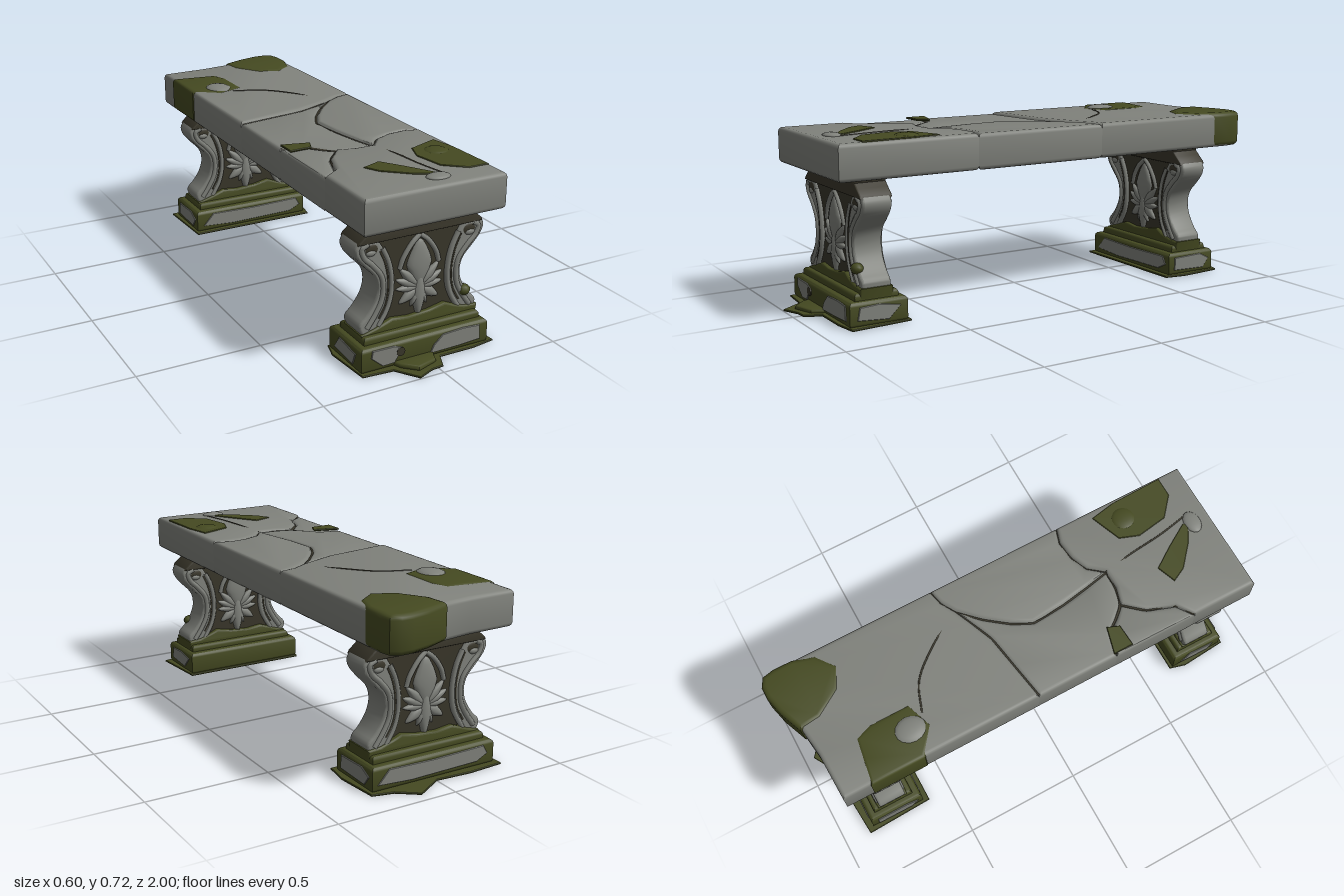
import * as THREE from 'three';
import { toCreasedNormals } from 'three/addons/utils/BufferGeometryUtils.js';

const material = (name, color) => {
  const m = new THREE.MeshStandardMaterial({ color });
  m.name = name;
  return m;
};
const stone = material('greyStone', 0x80827c);
const moss = material('moss', 0x454a21);
const dark = material('darkStone', 0x39362a);

const v2 = (pts) => pts.map(([x, y]) => new THREE.Vector2(x, y));

function add(parent, name, geometry, mat) {
  const mesh = new THREE.Mesh(geometry, mat);
  mesh.name = name;
  parent.add(mesh);
  return mesh;
}

// Bevelled extrusion whose outline and depth stay exact
function extrude(pts, depth, bevel, segments = 3) {
  const g = new THREE.ExtrudeGeometry(new THREE.Shape(v2(pts)), {
    depth: depth - 2 * bevel, bevelEnabled: bevel > 0, bevelThickness: bevel,
    bevelSize: bevel, bevelOffset: -bevel, bevelSegments: segments,
  });
  g.translate(0, 0, bevel);
  return toCreasedNormals(g, 0.7);
}

// Horizontal slab from an (x, z) outline
function slab(pts, y0, y1, bevel, segments) {
  const g = extrude(pts.map(([x, z]) => [x, -z]), y1 - y0, bevel, segments);
  return g.rotateX(-Math.PI / 2).translate(0, y0, 0);
}

// Upright extrusion centred on z = 0
const upright = (pts, half, bevel) => extrude(pts, half * 2, bevel).translate(0, 0, -half);

const smooth = (pts, n = 28) => new THREE.SplineCurve(v2(pts)).getPoints(n).map((p) => [p.x, p.y]);

const tube = (pts, r, n = 24) => new THREE.TubeGeometry(
  new THREE.CatmullRomCurve3(pts.map((p) => new THREE.Vector3(...p))), n, r, 7);

const rect = (x0, x1, z0, z1) => [[x0, z0], [x1, z0], [x1, z1], [x0, z1]];

// Pointed leaf lying on the panel, from (x0, y0) to (x1, y1)
function leaf(x0, y0, x1, y1, width, height) {
  const g = new THREE.SphereGeometry(1, 14, 12);
  const p = g.attributes.position;
  for (let i = 0; i < p.count; i++) {
    const taper = 1 - 0.45 * Math.abs(p.getY(i));
    p.setX(i, p.getX(i) * taper);
  }
  const dx = x1 - x0, dy = y1 - y0;
  g.scale(width, Math.hypot(dx, dy) / 2, height);
  g.rotateZ(Math.atan2(-dx, dy)).translate((x0 + x1) / 2, (y0 + y1) / 2, 0.05);
  g.computeVertexNormals();
  return g;
}

// Carved palmette on one face
function palmette() {
  const g = new THREE.Group();
  g.name = 'carvedPalmette';
  add(g, 'centreLeaf', leaf(0, 0.27, 0, 0.46, 0.055, 0.019), stone);
  add(g, 'stemLeaf', leaf(0, 0.145, 0, 0.34, 0.03, 0.02), stone);
  for (const s of [-1, 1]) {
    add(g, 'leafRim', tube([[s * 0.085, 0.355, 0.05], [s * 0.07, 0.4, 0.053],
      [s * 0.035, 0.45, 0.053], [0, 0.478, 0.05]], 0.01), stone);
    for (const [x, y, w] of [[0.085, 0.355, 0.02], [0.1, 0.315, 0.018], [0.1, 0.275, 0.016], [0.085, 0.215, 0.022], [0.035, 0.195, 0.014]])
      add(g, 'sideLeaf', leaf(0, 0.27, s * x, y, w, 0.016), stone);
  }
  return g;
}

// Scroll-sided leg with carved faces
function leg(name, z) {
  const g = new THREE.Group();
  g.name = name;
  g.position.z = z;
  const outer = smooth([[0.262, 0.495], [0.277, 0.47], [0.268, 0.435], [0.235, 0.395], [0.193, 0.35], [0.179, 0.3],
    [0.19, 0.25], [0.222, 0.2], [0.25, 0.172], [0.255, 0.15], [0.24, 0.12]]);
  const inner = smooth([[0.2, 0.12], [0.165, 0.16], [0.13, 0.21], [0.115, 0.26], [0.113, 0.32], [0.125, 0.39], [0.155, 0.45], [0.18, 0.49]]);
  const core = [[-0.16, 0.1], [0.16, 0.1], [0.15, 0.3], [0.2, 0.5], [-0.2, 0.5], [-0.15, 0.3]];
  add(g, 'recessedPanel', upright(core, 0.05, 0), dark);
  const half = [[0.22, 0.558], [0.215, 0.538], [0.235, 0.52], [0.262, 0.497], [0.268, 0.485]];
  add(g, 'legCap', upright([...half, ...half.map(([x, y]) => [-x, y]).reverse()], 0.066, 0.006), dark);
  for (const s of [-1, 1]) {
    add(g, 'scroll', upright([...outer, ...inner].map(([x, y]) => [s * x, y]), 0.06, 0.009), stone);
    for (const f of [-1, 1]) {
      const at = (pts, d) => pts.map(([x, y]) => [s * x, y, f * d]);
      add(g, 'innerRib', tube(at([[0.175, 0.15], [0.14, 0.21], [0.124, 0.27], [0.123, 0.33], [0.137, 0.4], [0.165, 0.46]], 0.056), 0.011), stone);
      add(g, 'ribGroove', tube(at([[0.175, 0.18], [0.148, 0.23], [0.138, 0.28], [0.139, 0.34], [0.153, 0.4], [0.175, 0.45]], 0.058), 0.0045), dark);
      add(g, 'outerRib', tube(at([[0.225, 0.15], [0.19, 0.2], [0.165, 0.25], [0.158, 0.3], [0.167, 0.35], [0.205, 0.4], [0.24, 0.435], [0.25, 0.47], [0.225, 0.485]], 0.057), 0.012, 36), stone);
      const eye = new THREE.SphereGeometry(1, 14, 10);
      add(g, 'voluteHollow', eye.clone().scale(0.028, 0.022, 0.006).translate(s * 0.21, 0.46, f * 0.058), dark);
      add(g, 'voluteEye', eye.scale(0.022, 0.013, 0.01).translate(s * 0.213, 0.448, f * 0.058), stone);
    }
  }
  for (const a of [0, Math.PI]) {
    const p = palmette();
    p.rotation.y = a;
    g.add(p);
  }
  // Moss creeping up the foot of the leg
  add(g, 'footMoss', upright([[-0.25, 0.09], [0.25, 0.09], [0.258, 0.145], [0.2, 0.15], [0.15, 0.165], [0.11, 0.182], [0.04, 0.168],
    [-0.05, 0.162], [-0.12, 0.17], [-0.19, 0.145], [-0.25, 0.128]], 0.069, 0.008), moss);
  // Mossy plinth
  add(g, 'plinth', slab(rect(-0.28, 0.272, -0.12, 0.12), 0, 0.1, 0.016), moss);
  add(g, 'plinthStep', slab(rect(-0.252, 0.252, -0.09, 0.09), 0.085, 0.128, 0.014), moss);
  return g;
}

// Bare stone showing on a plinth face: 0 front, 1 right end, 2 back, 3 left end
function barePatch(parent, face, pts) {
  const dist = [0.12, 0.272, 0.12, 0.28][face];
  const m = add(parent, 'barePatch', extrude(pts, 0.007, 0.002, 1).translate(0, 0, dist - 0.003), stone);
  m.rotation.y = face * Math.PI / 2;
}

export function createModel() {
  const model = new THREE.Group();
  model.name = 'stoneBench';

  // Seat broken into slabs along shared cracks
  const crackBack = [[-0.3, -0.07], [-0.15, -0.095], [0, -0.12], [0.1, -0.16], [0.17, -0.19], [0.23, -0.225], [0.295, -0.24]];
  const crackMid = [[0.17, -0.19], [0.09, -0.11], [0.02, -0.02], [-0.02, 0.06], [-0.01, 0.2], [0.01, 0.32], [0.03, 0.42]];
  const crackFront = [[-0.3, 0.28], [-0.21, 0.3], [-0.16, 0.36], [-0.12, 0.4], [-0.05, 0.42], [0.03, 0.42],
    [0.08, 0.36], [0.15, 0.33], [0.23, 0.32], [0.295, 0.34]];
  const crackCorner = [[-0.12, 0.4], [-0.19, 0.48], [-0.23, 0.59], [-0.3, 0.64]];
  const rev = (a) => [...a].reverse();
  const seat = new THREE.Group();
  seat.name = 'seat';
  model.add(seat);
  const slabs = [
    ['backSlab', [[-0.3, -0.915], [-0.1, -0.92], [0.02, -0.935], [0.12, -0.975], [0.2, -0.995], [0.25, -0.995], [0.285, -0.975],
      [0.295, -0.93], ...rev(crackBack)], 0.7],
    ['middleLeftSlab', [...crackBack.slice(0, 5), ...crackMid.slice(1), ...rev(crackFront.slice(0, 5))], 0.693],
    ['middleRightSlab', [...crackBack.slice(4), ...rev(crackFront.slice(6)), ...rev(crackMid.slice(1))], 0.698],
    ['cornerSlab', [...crackFront.slice(0, 4), ...crackCorner.slice(1)], 0.69],
    ['frontSlab', [...crackFront.slice(3), [0.295, 0.92], [-0.3, 0.92], ...rev(crackCorner.slice(1))], 0.7],
  ];
  for (const [name, pts, top] of slabs) add(seat, name, slab(pts, 0.556, top, 0.017), stone);

  // Dark lines in the cracks, above and below
  for (const line of [crackBack, crackMid, crackFront, crackCorner])
    for (const y of [0.684, 0.566])
      add(seat, 'crackLine', tube(line.map(([x, z]) => [x * 0.98, y, z]), 0.006, 40), dark);
  add(seat, 'surfaceCrack', tube([[-0.14, 0.699, -0.5], [-0.02, 0.699, -0.45], [0.08, 0.699, -0.34], [0.17, 0.692, -0.2]], 0.004), dark);
  add(seat, 'surfaceCrack', tube([[0.03, 0.692, 0.42], [0.05, 0.699, 0.56], [0.065, 0.699, 0.7], [0.09, 0.699, 0.83]], 0.004), dark);

  // Moss on the seat
  add(seat, 'backCornerMoss', slab([[0.02, -0.94], [0.12, -0.98], [0.2, -1], [0.252, -1], [0.289, -0.979], [0.299, -0.93], [0.298, -0.85],
    [0.27, -0.76], [0.19, -0.7], [0.1, -0.74], [0.03, -0.85]], 0.558, 0.706, 0.02), moss);
  add(seat, 'backEdgeMoss', slab([[-0.304, -0.8], [-0.2, -0.785], [-0.11, -0.77], [-0.085, -0.7], [-0.085, -0.53],
    [-0.2, -0.49], [-0.304, -0.57]], 0.56, 0.704, 0.016), moss);
  for (const pts of [
    [[-0.14, 0.64], [-0.06, 0.61], [0, 0.7], [0.06, 0.8], [0.05, 0.82], [-0.02, 0.78], [-0.11, 0.7]],
    [[0.1, 0.62], [0.13, 0.54], [0.26, 0.49], [0.28, 0.6], [0.285, 0.82], [0.2, 0.82], [0.12, 0.75]],
    [[-0.292, 0.27], [-0.18, 0.3], [-0.2, 0.35], [-0.292, 0.355]],
  ]) add(seat, 'seatMoss', slab(pts, 0.696, 0.704, 0.002, 1), moss);
  for (const [x, z, rx, rz, h, mat] of [[-0.18, -0.57, 0.055, 0.065, 0.017, stone], [0.05, 0.84, 0.05, 0.035, 0.012, stone],
    [0.2, 0.6, 0.05, 0.05, 0.012, moss]])
    add(seat, 'seatLump', new THREE.SphereGeometry(1, 14, 8).scale(rx, h, rz).translate(x, 0.7, z), mat);

  // Legs with patches of bare stone on the plinths
  const front = leg('frontLeg', 0.762), back = leg('backLeg', -0.745);
  model.add(front, back);
  barePatch(front, 0, [[-0.24, 0.06], [-0.19, 0.018], [-0.14, 0.02], [-0.105, 0.075], [-0.14, 0.088], [-0.235, 0.09]]);
  barePatch(front, 0, [[0.015, 0.018], [0.15, 0.02], [0.24, 0.025], [0.235, 0.085], [0.16, 0.09], [0.07, 0.085], [0.03, 0.05]]);
  barePatch(front, 1, [[-0.09, 0.03], [0.04, 0.02], [0.09, 0.07], [0, 0.085], [-0.08, 0.08]]);
  barePatch(front, 3, [[-0.08, 0.03], [0.06, 0.02], [0.08, 0.07], [-0.04, 0.085]]);
  for (const f of [0, 2]) barePatch(back, f, [[-0.25, 0.03], [-0.1, 0.02], [0.2, 0.025], [0.25, 0.05], [0.23, 0.085], [0, 0.08], [-0.2, 0.085]]);
  for (const f of [1, 3]) barePatch(back, f, [[-0.09, 0.025], [0.07, 0.02], [0.1, 0.06], [0.05, 0.085], [-0.09, 0.08]]);
  add(front, 'plinthHole', new THREE.CylinderGeometry(0.018, 0.018, 0.008, 12).rotateX(Math.PI / 2).translate(-0.115, 0.06, 0.121), dark);
  add(front, 'mossClump', new THREE.SphereGeometry(1, 12, 8).scale(0.027, 0.022, 0.025).translate(0.2, 0.212, 0.055), moss);

  // Moss spreading on the ground
  const frontSpread = [[-0.3, 0.7], [-0.285, 0.9], [-0.16, 0.91], [-0.1, 1], [-0.03, 0.97], [0.02, 0.965], [0.05, 0.9],
    [0.2, 0.9], [0.3, 0.885], [0.28, 0.63], [-0.28, 0.63]];
  const backSpread = [[-0.29, -0.6], [0.285, -0.6], [0.3, -0.7], [0.285, -0.88], [0.2, -0.9], [0.12, -0.96], [0, -0.89], [-0.15, -0.9], [-0.3, -0.89]];
  add(model, 'frontGroundMoss', slab(frontSpread, 0, 0.008, 0.002, 1), moss);
  add(model, 'frontMossMound', slab([[-0.15, 0.86], [0.04, 0.86], [0.01, 0.93], [-0.08, 0.96], [-0.13, 0.91]], 0, 0.024, 0.01), moss);
  add(model, 'backGroundMoss', slab(backSpread, 0, 0.008, 0.002, 1), moss);
  return model;
}
